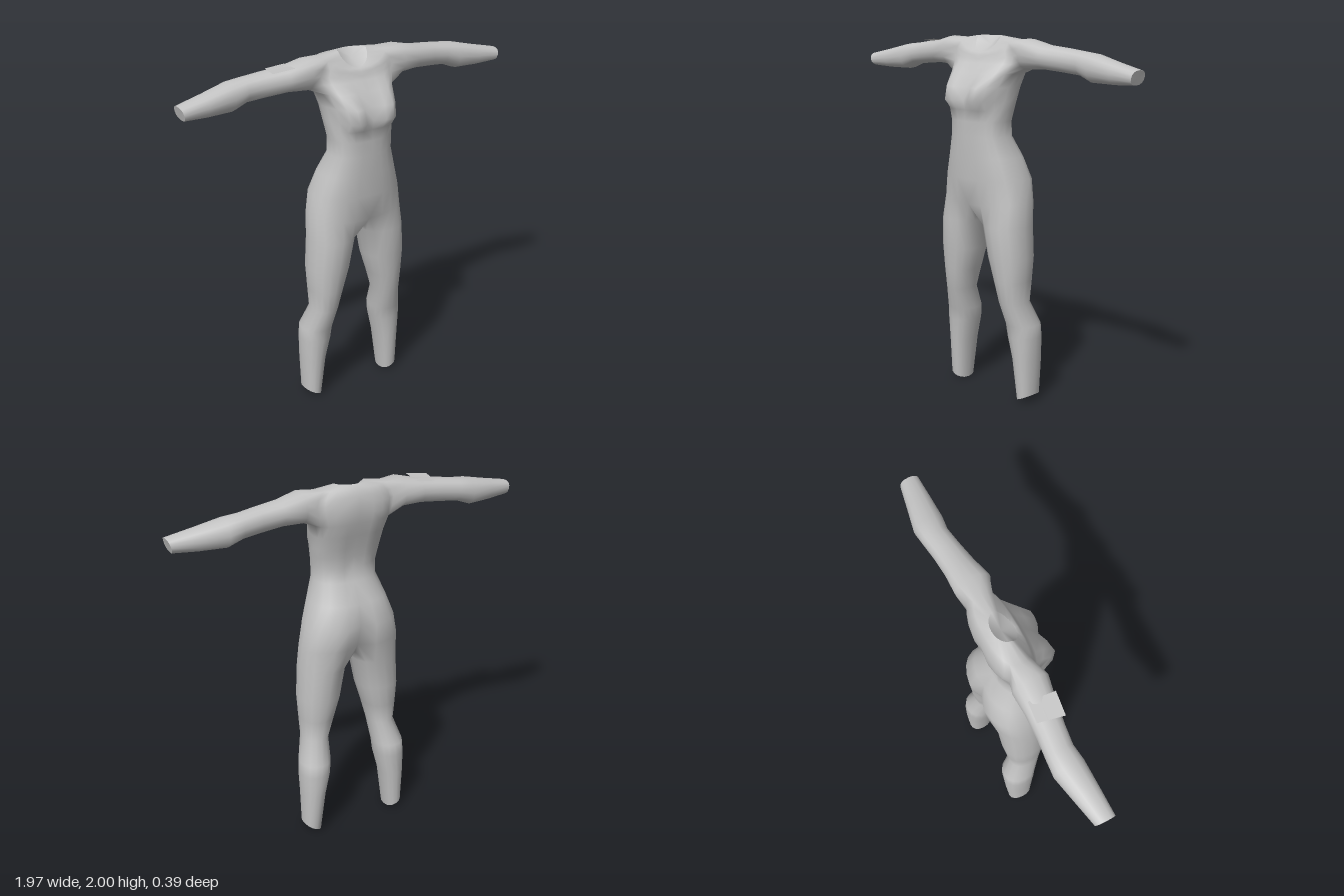
import * as THREE from 'three';
import { mergeVertices } from 'three/addons/utils/BufferGeometryUtils.js';

const HALF = 12; // columns from front centre round the side to back centre
const pw = (v, e) => Math.sign(v) * Math.abs(v) ** e;

// torso rings from hip to shoulder: y, half width, front z, back z, bust depth, front dip, rear cleft
const TORSO = [
  [1.13, 0.28, 0.13, -0.18, 0, 0.02, 0.05],
  [1.25, 0.255, 0.145, -0.195, 0, 0, 0.03],
  [1.37, 0.215, 0.15, -0.155, 0, 0, 0.01],
  [1.48, 0.175, 0.155, -0.095, 0, 0, 0],
  [1.56, 0.175, 0.155, -0.09, 0, 0, 0.01],
  [1.62, 0.185, 0.14, -0.1, 0.025, 0, 0.01],
  [1.67, 0.19, 0.11, -0.11, 0.1, 0, 0.01],
  [1.74, 0.2, 0.1, -0.13, 0.09, 0, 0.01],
  [1.81, 0.22, 0.085, -0.15, 0.045, 0, 0.01],
  [1.86, 0.24, 0.07, -0.155, 0.01, 0, 0.01],
  [1.91, 0.25, 0.062, -0.15, 0, 0.03, 0],
  [1.95, 0.235, 0.055, -0.14, 0, 0.05, 0],
  [1.985, 0.2, 0.045, -0.125, 0, 0.07, 0],
];
const BUST = [0.55, 0.85, 1, 0.8, 0.35];

// leg rings downward: y, inner x, outer x, front z, back z, sideways tilt
const LEG = [
  [1.0, 0.032, 0.288, 0.122, -0.145, 0],
  [0.83, 0.065, 0.298, 0.11, -0.138, 0],
  [0.7, 0.105, 0.29, 0.095, -0.122, 0],
  [0.58, 0.138, 0.282, 0.078, -0.105, 0],
  [0.45, 0.148, 0.32, 0.038, -0.16, 0],
  [0.38, 0.155, 0.325, 0.03, -0.162, 0],
  [0.25, 0.188, 0.32, 0.018, -0.158, 0],
  [0.028, 0.218, 0.315, 0.0, -0.14, 0.023],
];

// arm rings outward: x, top y, bottom y, front z, back z
const ARM = [
  [0.285, 1.992, 1.835, 0.055, -0.135],
  [0.4, 1.965, 1.84, 0.03, -0.13],
  [0.52, 1.953, 1.83, 0.01, -0.135],
  [0.62, 1.94, 1.82, -0.002, -0.145],
  [0.7, 1.932, 1.79, 0.01, -0.15],
  [0.84, 1.9, 1.79, 0.012, -0.12],
  [0.975, 1.87, 1.797, 0.012, -0.092],
];

// collects triangles for the left half and mirrors each one to the right
function mirroredSurface() {
  const pos = [];
  const tri = (a, b, c) => {
    pos.push(...a, ...b, ...c);
    for (const p of [a, c, b]) pos.push(-p[0], p[1], p[2]);
  };
  const quad = (a, b, c, d) => { tri(a, b, c); tri(a, c, d); };
  const build = () => {
    let g = new THREE.BufferGeometry();
    g.setAttribute('position', new THREE.Float32BufferAttribute(pos, 3));
    g = mergeVertices(g, 1e-4);
    g.computeVertexNormals();
    return g;
  };
  return { tri, quad, build };
}

// joins closed loops of equal length; flip for loops that run the other way
function loft(surface, loops, flip) {
  for (let r = 0; r + 1 < loops.length; r++) {
    const n = loops[r].length;
    for (let j = 0; j < n; j++) {
      const k = (j + 1) % n;
      const q = [loops[r][j], loops[r][k], loops[r + 1][k], loops[r + 1][j]];
      surface.quad(...(flip ? q.reverse() : q));
    }
  }
}

function fan(surface, loop, flip) {
  const c = [0, 1, 2].map(i => loop.reduce((s, p) => s + p[i], 0) / loop.length);
  loop.forEach((p, j) => {
    const q = loop[(j + 1) % loop.length];
    if (flip) surface.tri(c, q, p); else surface.tri(c, p, q);
  });
}

function torsoRing([y, hw, zf, zb, bust, dip, cleft]) {
  return Array.from({ length: HALF + 1 }, (_, k) => {
    const t = Math.PI * k / HALF, c = Math.cos(t);
    let z = (zf + zb) / 2 + (zf - zb) / 2 * pw(c, 0.75) + bust * (BUST[k] || 0);
    if (k === HALF) z += cleft;
    const x = k % HALF ? hw * Math.sin(t) ** 0.85 : 0;
    return [x, y - dip * Math.max(0, c) ** 2, z];
  });
}

export function createModel() {
  const group = new THREE.Group();
  const grey = new THREE.MeshStandardMaterial({ color: 0xc4c4c4, side: THREE.DoubleSide });
  grey.name = 'plain grey';
  const add = (name, geometry) => {
    const mesh = new THREE.Mesh(geometry, grey);
    mesh.name = name;
    group.add(mesh);
    return mesh;
  };
  const skin = mirroredSurface(), ends = mirroredSurface();

  // torso, leaving a gap for the arm, and the neckline
  const rings = TORSO.map(torsoRing);
  const top = rings.length - 1, low = top - 4, front = 4, back = 8;
  rings.push(Array.from({ length: HALF + 1 }, (_, k) => {
    const t = Math.PI * k / HALF;
    return [k % HALF ? 0.085 * Math.sin(t) : 0, 2 - 0.08 * Math.max(0, Math.cos(t)), -0.03 + 0.06 * Math.cos(t)];
  }));
  for (let r = 0; r + 1 < rings.length; r++) {
    for (let k = 0; k < HALF; k++) {
      if (r >= low && r < top && k >= front && k < back) continue;
      skin.quad(rings[r][k], rings[r][k + 1], rings[r + 1][k + 1], rings[r + 1][k]);
    }
  }
  const neck = rings[top + 1];
  for (let k = 0; k < HALF; k++) ends.tri([0, 1.955, -0.04], neck[k], neck[k + 1]);

  // arm grown from the rim of the gap
  const rim = [];
  for (let i = 0; i < 4; i++) rim.push(rings[low][front + i]);
  for (let i = 0; i < 4; i++) rim.push(rings[low + i][back]);
  for (let i = 0; i < 4; i++) rim.push(rings[top][back - i]);
  for (let i = 0; i < 4; i++) rim.push(rings[top - i][front]);
  const arm = ARM.map(([x, yt, yb, zf, zb], r) => rim.map((_, j) => {
    const a = -Math.PI / 4 - j * Math.PI / 8;
    const slant = r === ARM.length - 1 ? 0.01 * Math.sin(a) : 0;
    return [x + slant, (yt + yb) / 2 + (yt - yb) / 2 * pw(Math.sin(a), 0.85),
      (zf + zb) / 2 + (zf - zb) / 2 * pw(Math.cos(a), 0.85)];
  }));
  loft(skin, [rim, ...arm], false);
  fan(ends, arm[arm.length - 1], false);

  // leg grown from the hip ring and the crotch line
  const hip = [...rings[0], [0, 1.075, -0.1], [0, 1.05, -0.02], [0, 1.065, 0.07]];
  const leg = LEG.map(([y, xi, xo, zf, zb, tilt]) => hip.map((_, j) => {
    const a = j * Math.PI / 8 - Math.PI / 4;
    return [(xi + xo) / 2 + (xo - xi) / 2 * pw(Math.sin(a), 0.9), y + tilt * Math.sin(a),
      (zf + zb) / 2 + (zf - zb) / 2 * pw(Math.cos(a), 0.9)];
  }));
  loft(skin, [hip, ...leg], true);
  fan(ends, leg[leg.length - 1], true);

  add('body', skin.build());
  add('neckWristAndAnkleCaps', ends.build());

  // small loose patch lying on the right upper arm
  const outline = [[-0.5, -0.02], [-0.47, 0.11], [-0.365, 0.1], [-0.38, -0.035]];
  const patch = new THREE.ShapeGeometry(new THREE.Shape(outline.map(p => new THREE.Vector2(...p))));
  patch.rotateX(-Math.PI / 2);
  const p = patch.attributes.position;
  for (let i = 0; i < p.count; i++) p.setY(i, 2.01 + 0.1 * p.getX(i) + 0.08 * Math.min(0, p.getZ(i)));
  patch.computeVertexNormals();
  add('armPatch', patch);

  return group;
}
